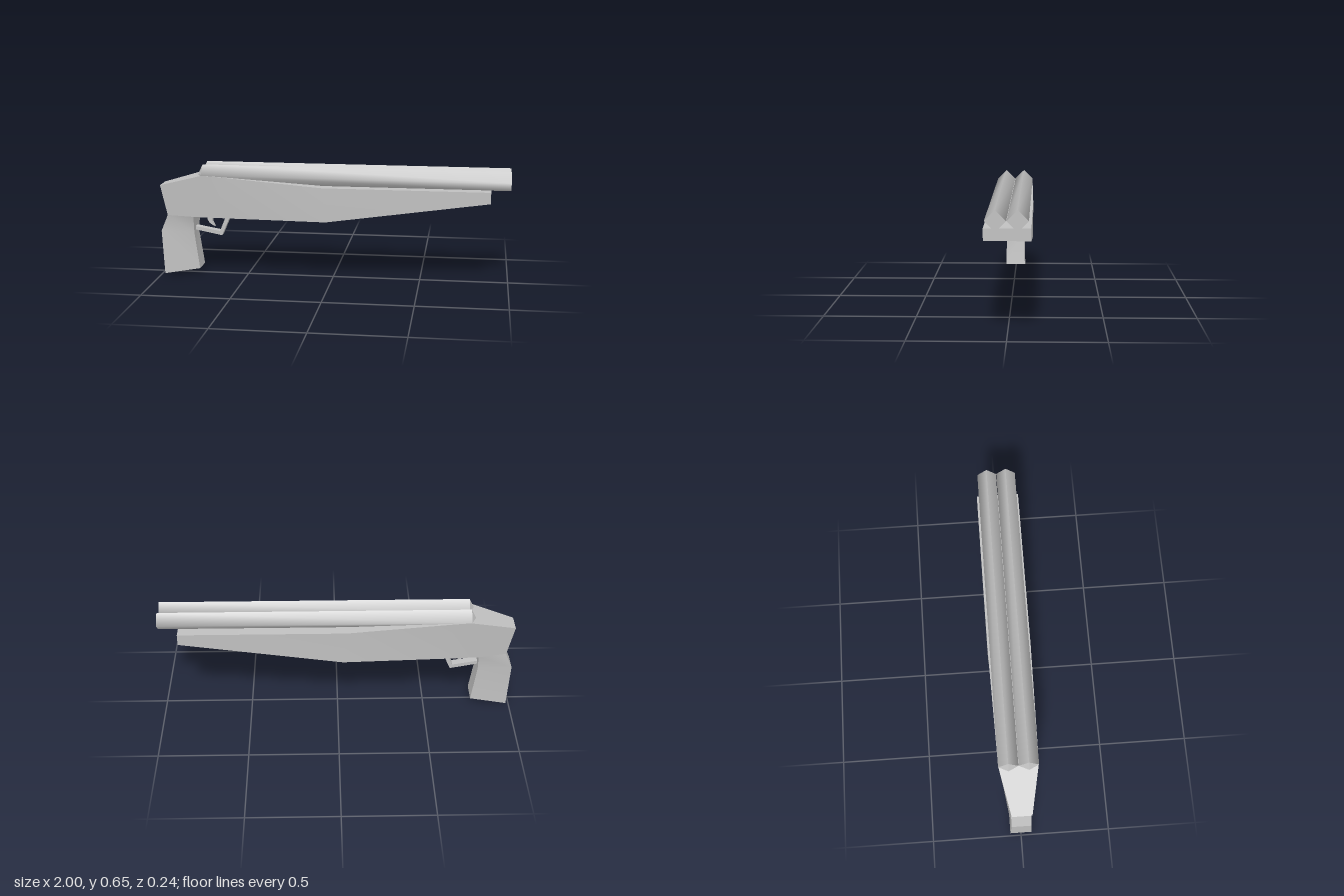
import * as THREE from 'three';
import { mergeGeometries } from 'three/addons/utils/BufferGeometryUtils.js';

const steel = new THREE.MeshStandardMaterial({ color: 0xc0c0c0 });
steel.name = 'plain grey';

// Smooth-shaded grid through rows of [x, y, z] points
function patch(rows) {
  const n = rows[0].length, index = [];
  for (let r = 0; r < rows.length - 1; r++) {
    for (let i = 0; i < n - 1; i++) {
      const a = r * n + i, b = a + 1, c = a + n, d = c + 1;
      index.push(a, b, c, b, d, c);
    }
  }
  const g = new THREE.BufferGeometry();
  g.setAttribute('position', new THREE.Float32BufferAttribute(rows.flat(2), 3));
  g.setIndex(index);
  g.computeVertexNormals();
  return g;
}
const mirror = (row) => row.map(([x, y, z]) => [x, y, -z]);
// Both flanks, from rows listed bottom to top
const flanks = (rows) => [patch(rows), patch(rows.map(mirror).reverse())];
// Face spanning the width along an outline run
const across = (run) => patch([run, mirror(run)]);

function add(group, name, geometry) {
  const mesh = new THREE.Mesh(geometry, steel);
  mesh.name = name;
  group.add(mesh);
  return mesh;
}

// Flat side-profile part, centred on z = 0
function plate(points, depth) {
  const shape = new THREE.Shape(points.map(([x, y]) => new THREE.Vector2(x, y)));
  return new THREE.ExtrudeGeometry(shape, { depth, bevelEnabled: false }).translate(0, 0, -depth / 2);
}

function barrel() {
  const r = 0.054, x0 = -0.745, x1 = 1;
  const row = (y, z) => [[x0, y, z], [x1, y, z]];
  const sides = flanks([row(-r, 0), row(0, r), row(r, 0)]);
  const muzzle = new THREE.CircleGeometry(r, 4).rotateY(Math.PI / 2).translate(x1, 0, 0);
  const breech = new THREE.ConeGeometry(r, 0.026, 4, 1, true)
    .rotateZ(Math.PI / 2).translate(x0 - 0.013, 0, 0).toNonIndexed();
  breech.computeVertexNormals();
  const parts = [...sides, muzzle, breech].map((g) => {
    const flat = g.index ? g.toNonIndexed() : g;
    flat.deleteAttribute('uv');
    return flat;
  });
  return mergeGeometries(parts);
}

export function createModel() {
  const model = new THREE.Group();
  model.name = 'doubleBarrel';

  // Receiver and fore-end: top and bottom edges, rear to front
  const top = [[-1, 0.525, 0.055], [-0.74, 0.597, 0.108], [-0.64, 0.591, 0.11],
    [-0.05, 0.546, 0.12], [0.89, 0.546, 0.12]];
  const bottom = [[-0.96, 0.35, 0.055], [-0.8, 0.35, 0.085], [-0.64, 0.35, 0.094],
    [-0.03, 0.35, 0.12], [0.89, 0.482, 0.12]];
  add(model, 'body', mergeGeometries([
    ...flanks([bottom, top]),
    across(top.slice(0, 2)),
    across(top.slice(1)),
    across([top[4], bottom[4]]),
    across([bottom[4], bottom[3]]),
    across(bottom.slice(1, 4).reverse()),
    across([bottom[0], top[0]]),
  ]));

  // Pistol grip: pairs of rear and front points, lowest first
  const grip = [
    [[-0.985, 0, 0.06], [-0.775, 0.038, 0.06]],
    [[-1, 0.255, 0.054], [-0.805, 0.25, 0.054]],
    bottom.slice(0, 2),
  ];
  add(model, 'grip', mergeGeometries([
    ...flanks(grip),
    across(grip.map((r) => r[1]).reverse()),
    across([grip[0][1], grip[0][0]]),
    across([grip[0][0], grip[1][0]]),
    across([grip[1][0], grip[2][0]]),
  ]));

  // Twin square barrels set on edge
  for (const side of [1, -1]) {
    const mesh = add(model, side > 0 ? 'nearBarrel' : 'farBarrel', barrel());
    mesh.position.set(0, 0.599, side * 0.055);
  }

  // Trigger guard and trigger
  add(model, 'triggerGuard', plate([[-0.595, 0.355], [-0.648, 0.231], [-0.81, 0.262],
    [-0.81, 0.282], [-0.66, 0.256], [-0.62, 0.355]], 0.045));
  add(model, 'trigger', plate([[-0.735, 0.355], [-0.735, 0.322], [-0.723, 0.3],
    [-0.692, 0.281], [-0.706, 0.31], [-0.706, 0.325], [-0.7, 0.355]], 0.024));

  return model;
}
